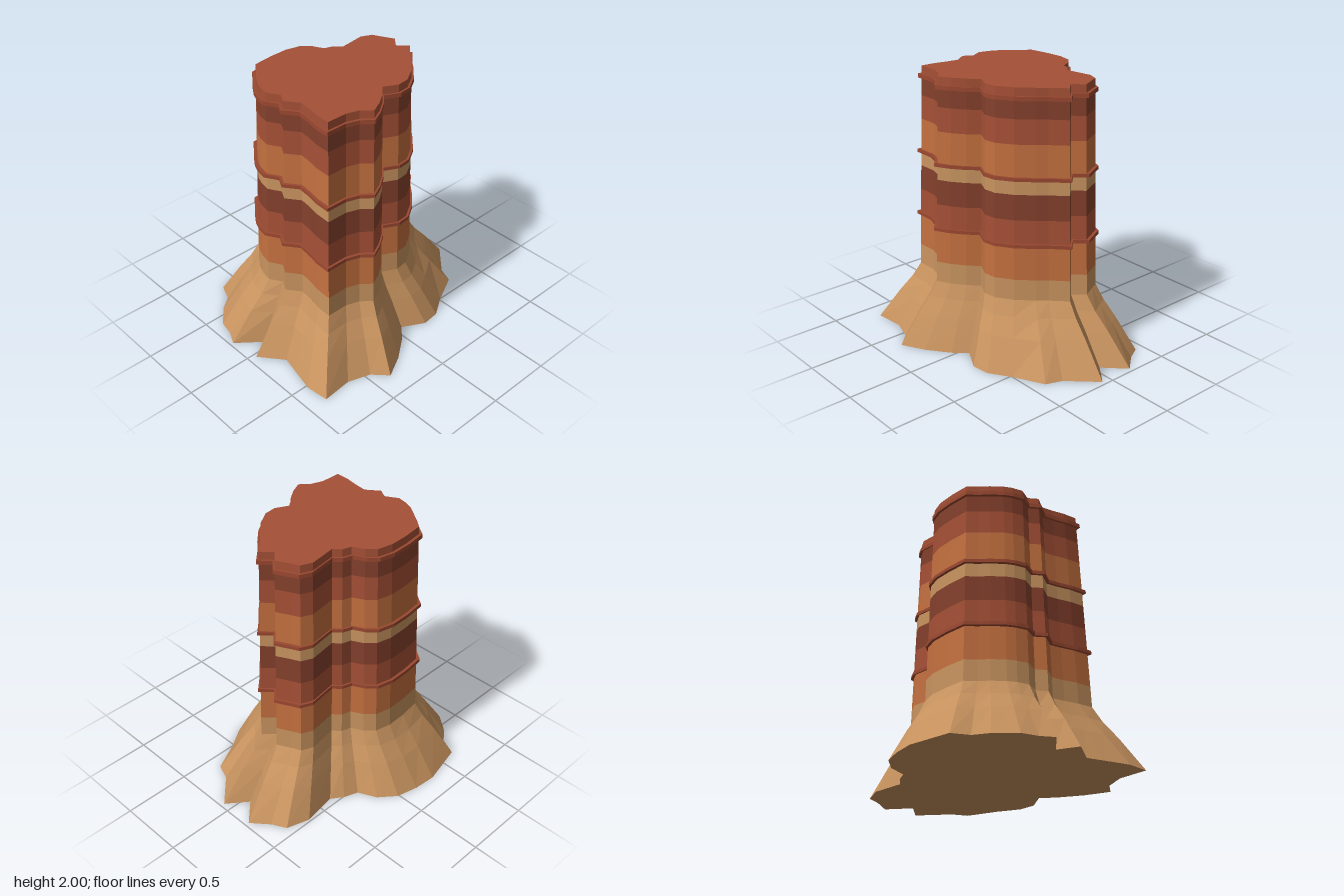
import * as THREE from 'three';

const mat = (name, color) => new THREE.MeshStandardMaterial({ name, color, flatShading: true });

// Footprint of the skirt on the ground, as x, z pairs
const FOOT = [
  0.97, -0.2, 0.82, -0.05, 0.97, 0.07, 0.78, 0.27, 0.735, 0.39, 0.515, 0.5,
  0.36, 0.6, 0.225, 0.615, 0.06, 0.525, -0.03, 0.62, -0.19, 0.74, -0.36, 0.83,
  -0.46, 0.725, -0.625, 0.67, -0.85, 0.69, -0.87, 0.52, -0.83, 0.34, -0.8, 0.205,
  -0.94, 0.03, -0.8, -0.055, -0.975, -0.2, -0.925, -0.3, -0.9, -0.42, -0.79, -0.56,
  -0.69, -0.635, -0.64, -0.76, -0.32, -0.835, -0.15, -0.82, 0.01, -0.78, 0.13, -0.68,
  0.195, -0.545, 0.3, -0.505, 0.385, -0.445, 0.64, -0.485, 0.81, -0.43, 0.865, -0.325,
];
// Outline of the cliff at its top, in the same order
const RIM = [
  0.555, -0.11, 0.485, -0.035, 0.555, 0.04, 0.455, 0.135, 0.4, 0.2, 0.3, 0.3,
  0.19, 0.37, 0.1, 0.38, 0, 0.33, -0.07, 0.4, -0.16, 0.465, -0.25, 0.51,
  -0.32, 0.45, -0.41, 0.42, -0.56, 0.42, -0.555, 0.31, -0.535, 0.21, -0.525, 0.125,
  -0.595, 0.03, -0.555, -0.04, -0.605, -0.13, -0.59, -0.21, -0.565, -0.27, -0.51, -0.35,
  -0.46, -0.41, -0.41, -0.48, -0.26, -0.5, -0.12, -0.505, -0.01, -0.48, 0.05, -0.42,
  0.09, -0.34, 0.155, -0.32, 0.2, -0.27, 0.4, -0.3, 0.48, -0.265, 0.505, -0.21,
];
const N = RIM.length / 2;
const SKIRT_TOP = 0.47;

// Ring of the tapering cliff wall at height y, optionally swollen for a ledge
function wallRing(y, swell = 1) {
  const s = (1 + 0.085 * (2 - y) / (2 - SKIRT_TOP)) * swell;
  return Array.from({ length: N }, (_, i) => new THREE.Vector3(RIM[2 * i] * s, y, RIM[2 * i + 1] * s));
}

// Ring of the flared skirt: spread 0 is the cliff wall, 1 the footprint
function skirtRing(y, spread) {
  return wallRing(SKIRT_TOP).map((p, i) =>
    p.lerp(new THREE.Vector3(FOOT[2 * i], 0, FOOT[2 * i + 1]), spread).setY(y));
}

// Faceted surface joining successive rings
function loft(rings) {
  const pts = [];
  for (let r = 0; r < rings.length - 1; r++) {
    for (let i = 0; i < N; i++) {
      const j = (i + 1) % N;
      const [a, b, c, d] = [rings[r][i], rings[r][j], rings[r + 1][j], rings[r + 1][i]];
      pts.push(a, d, b, b, d, c);
    }
  }
  const g = new THREE.BufferGeometry().setFromPoints(pts);
  g.computeVertexNormals();
  return g;
}

// Flat lid over a ring, facing up (1) or down (-1)
function lid(ring, facing) {
  const shape = new THREE.Shape(ring.map(p => new THREE.Vector2(p.x, -facing * p.z)));
  return new THREE.ShapeGeometry(shape).rotateX(-facing * Math.PI / 2).translate(0, ring[0].y, 0);
}

export function createModel() {
  const model = new THREE.Group();
  model.name = 'rockButte';
  const sand = mat('sand', 0xc8935f);
  const orange = mat('orangeRock', 0xc4703f);
  const rust = mat('rustRock', 0xa55036);
  const maroon = mat('darkRock', 0x84402c);
  const ledgeRed = mat('ledgeRock', 0x9a4830);

  const add = (name, geometry, material) => {
    const mesh = new THREE.Mesh(geometry, material);
    mesh.name = name;
    model.add(mesh);
  };

  // Flared skirt and its underside
  const skirt = [[0, 1], [0.235, 0.5], [0.36, 0.2], [SKIRT_TOP, 0]].map(([y, k]) => skirtRing(y, k));
  add('skirt', loft(skirt), sand);
  add('underside', lid(skirt[0], -1), sand);

  // Coloured rock layers, bottom to top
  const layers = [
    [SKIRT_TOP, 0.625, sand], [0.625, 0.88, orange], [0.88, 1.07, rust],
    [1.07, 1.255, maroon], [1.255, 1.37, sand], [1.37, 1.61, orange],
    [1.61, 1.785, rust], [1.785, 1.92, maroon], [1.92, 2, rust],
  ];
  layers.forEach(([y0, y1, m], i) => add(`layer${i + 1}`, loft([wallRing(y0), wallRing(y1)]), m));
  add('summit', lid(wallRing(2), 1), rust);

  // Thin projecting ledges
  [[0.87, 0.895], [1.355, 1.38], [1.912, 1.942]].forEach(([y0, y1], i) => {
    const rings = [wallRing(y0), wallRing(y0, 1.038), wallRing(y1, 1.038), wallRing(y1)];
    add(`ledge${i + 1}`, loft(rings), ledgeRed);
  });

  return model;
}
